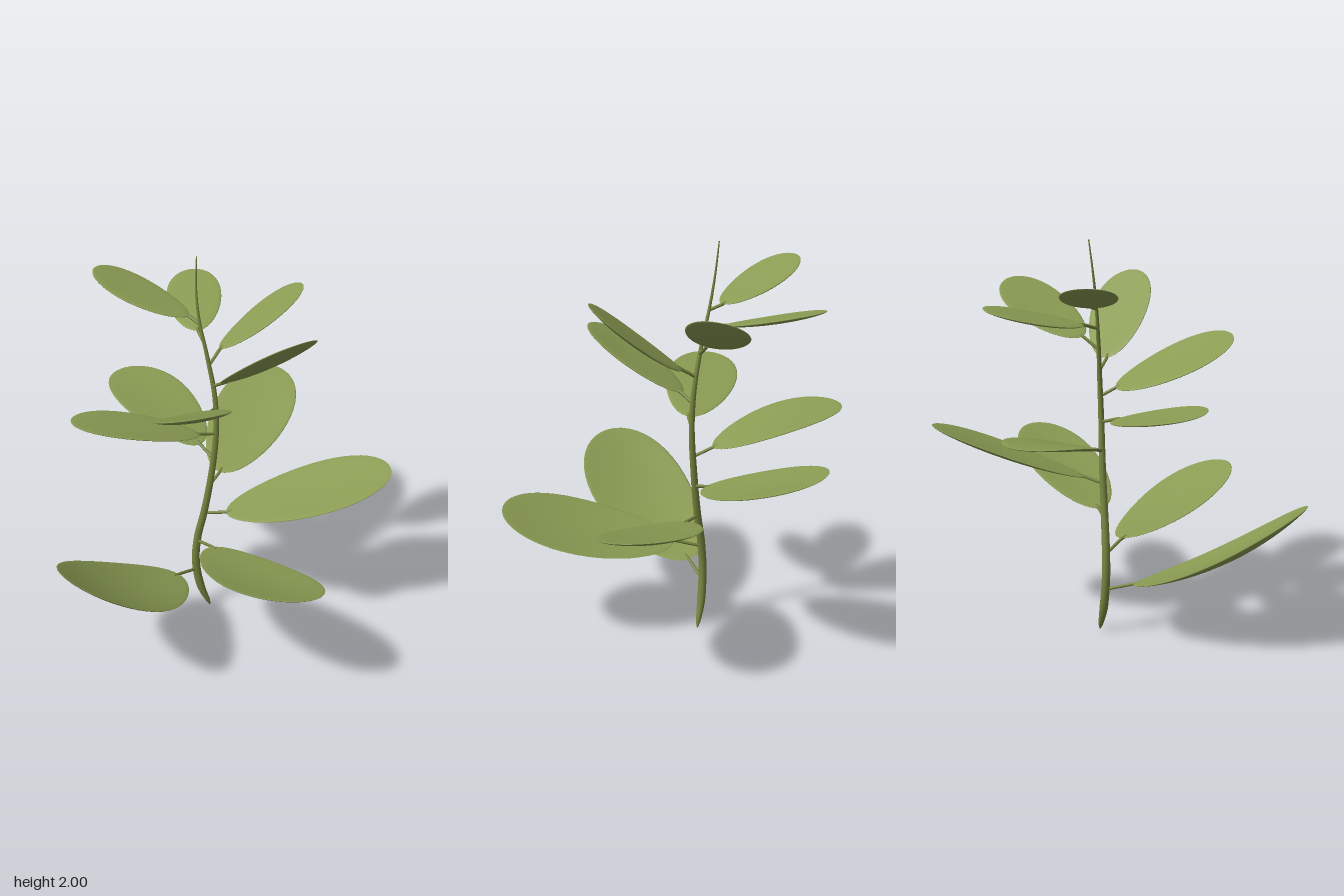
import * as THREE from 'three';

const V = (p) => new THREE.Vector3(...p);
const leafGreen = new THREE.MeshStandardMaterial({ color: 0x8a9c53 });
const stemGreen = new THREE.MeshStandardMaterial({ color: 0x76853f });

// Tube whose radius follows a function of the position u along the curve
function taperedTube(curve, segments, sides, radiusAt) {
  const geo = new THREE.TubeGeometry(curve, segments, 1, sides);
  const pos = geo.attributes.position;
  const v = new THREE.Vector3();
  for (let i = 0; i <= segments; i++) {
    const centre = curve.getPointAt(i / segments);
    for (let j = 0; j <= sides; j++) {
      const k = i * (sides + 1) + j;
      v.fromBufferAttribute(pos, k).sub(centre).multiplyScalar(radiusAt(i / segments)).add(centre);
      pos.setXYZ(k, v.x, v.y, v.z);
    }
  }
  geo.computeVertexNormals();
  return geo;
}

// Thick oval blade from base to tip: a sphere flattened, widened towards the tip, bent and cupped
function bladeGeometry(base, tip, width, up, sag) {
  const axis = tip.clone().sub(base);
  const length = axis.length();
  axis.normalize();
  const normal = up.clone().addScaledVector(axis, -up.dot(axis)).normalize();
  const side = axis.clone().cross(normal);
  const geo = new THREE.SphereGeometry(1, 32, 24);
  const pos = geo.attributes.position;
  const v = new THREE.Vector3();
  for (let i = 0; i < pos.count; i++) {
    const x = pos.getX(i), z = pos.getZ(i);
    const t = (pos.getY(i) + 1) / 2;
    const across = x * (0.8 + 0.34 * t) * width / 2;
    const lift = z * 0.014 - sag * 4 * t * (1 - t) + 0.5 * across * across;
    v.copy(base).addScaledVector(axis, t * length).addScaledVector(side, across).addScaledVector(normal, lift);
    pos.setXYZ(i, v.x, v.y, v.z);
  }
  geo.computeVertexNormals();
  return geo;
}

// Leaves from bottom to top: height on the stem, blade base, tip, width, facing and sag
const leaves = [
  { y: 0.24, base: [-0.08, 0.29, -0.12], tip: [-0.89, 0.75, 0.12], width: 0.55, up: [0.49, 0.87, 0], sag: 0.07 },
  { y: 0.43, base: [0.05, 0.47, 0], tip: [-0.09, 0.68, 0.84], width: 0.49, up: [0.22, 1, 0], sag: 0.045 },
  { y: 0.61, base: [0.17, 0.62, -0.03], tip: [0.84, 0.86, 0.48], width: 0.43, up: [-0.34, 1, -0.12], sag: 0.025 },
  { y: 0.78, base: [0.2, 0.81, -0.12], tip: [0.88, 1.07, -0.44], width: 0.42, up: [0, 1, 0.15], sag: 0.02 },
  { y: 0.94, base: [0.12, 0.98, -0.18], tip: [0.12, 1.15, -0.84], width: 0.4, up: [0, 1, 0], sag: -0.01 },
  { y: 1.09, base: [0.03, 1.12, -0.08], tip: [-0.53, 1.265, -0.37], width: 0.36, up: [0.25, 0.97, 0], sag: 0.005 },
  { y: 1.22, base: [0.07, 1.26, -0.03], tip: [-0.41, 1.51, 0.29], width: 0.35, up: [0, 1, -0.28], sag: 0.015 },
  { y: 1.35, base: [0.13, 1.4, -0.01], tip: [0.25, 1.76, 0.45], width: 0.33, up: [0.1, 0.8, -0.6], sag: 0.015 },
  { y: 1.46, base: [0.2, 1.52, -0.12], tip: [0.67, 1.755, -0.06], width: 0.3, up: [0, 1, -0.28], sag: 0.015 },
  { y: 1.57, base: [0.14, 1.6, -0.22], tip: [0.43, 1.71, -0.62], width: 0.28, up: [-0.2, 1, 0.1], sag: 0.01 },
  { y: 1.67, base: [0.09, 1.69, -0.23], tip: [-0.14, 1.86, -0.67], width: 0.27, up: [0, 1, 0], sag: 0.015 },
];

export function createModel() {
  const model = new THREE.Group();
  model.name = 'leafySprig';
  const add = (name, geometry, material, parent) => {
    const mesh = new THREE.Mesh(geometry, material);
    mesh.name = name;
    parent.add(mesh);
  };

  // Gently winding stem, thin at the foot and drawn out to a fine point
  const stemCurve = new THREE.CatmullRomCurve3([
    [0.125, 0, -0.105], [0.085, 0.13, -0.137], [0.063, 0.3, -0.15], [0.068, 0.45, -0.14],
    [0.09, 0.62, -0.112], [0.115, 0.85, -0.085], [0.13, 1.1, -0.068], [0.13, 1.3, -0.08],
    [0.115, 1.5, -0.118], [0.1, 1.7, -0.165], [0.103, 1.85, -0.188], [0.117, 2, -0.2],
  ].map(V));
  const stemRadius = (u) => (0.022 - 0.019 * Math.pow(u, 1.6)) * Math.min(1, 0.15 + Math.sqrt(u * 10));
  add('stem', taperedTube(stemCurve, 72, 12, stemRadius), stemGreen, model);

  // Point of the stem at a given height
  const stemPoints = stemCurve.getSpacedPoints(400);
  const stemAt = (y) => stemPoints.reduce((a, b) => (Math.abs(b.y - y) < Math.abs(a.y - y) ? b : a));

  // Each leaf is a short stalk and a blade
  leaves.forEach(({ y, base, tip, width, up, sag }, i) => {
    const leaf = new THREE.Group();
    leaf.name = `leaf${i + 1}`;
    const start = stemAt(y), b = V(base), t = V(tip);
    const inside = b.clone().lerp(t, 0.04).addScaledVector(V(up).normalize(), -sag * 0.15);
    const stalkCurve = new THREE.CatmullRomCurve3([start, start.clone().lerp(b, 0.5), b, inside]);
    add('leafStalk', taperedTube(stalkCurve, 10, 8, () => 0.008), stemGreen, leaf);
    add('leafBlade', bladeGeometry(b, t, width, V(up), sag), leafGreen, leaf);
    model.add(leaf);
  });

  return model;
}
